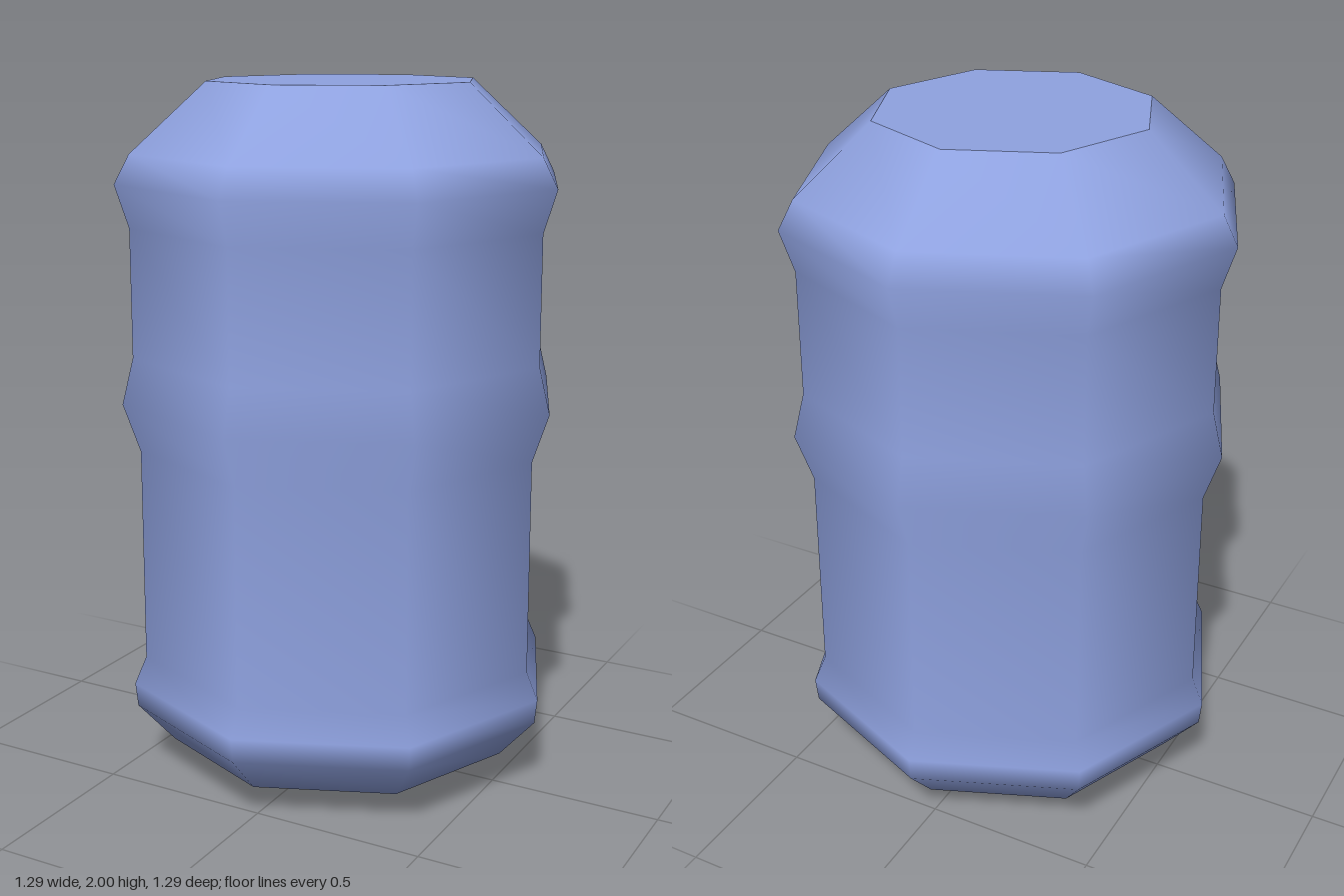
import * as THREE from 'three';

// Eight-sided barrel with smooth shading, raised bands and a flat lid.
export function createModel() {
  const group = new THREE.Group();
  group.name = 'barrel';
  const material = new THREE.MeshStandardMaterial({ color: 0x8fa2e0 });
  const sides = 8;
  const topRadius = 0.385;

  // Body profile as [radius, height], from the base centre up to the rim
  const profile = [
    [0, 0], [0.29, 0], [0.52, 0.09], [0.625, 0.21], [0.632, 0.28], [0.597, 0.36],
    [0.593, 0.98], [0.64, 1.12], [0.607, 1.25], [0.605, 1.61],
    [0.643, 1.73], [0.6, 1.81], [topRadius, 2],
  ].map(([r, y]) => new THREE.Vector2(r, y));
  const body = new THREE.Mesh(new THREE.LatheGeometry(profile, sides), material);
  body.name = 'body';

  // Flat top with its own normals, so the rim stays sharp
  const lid = new THREE.Mesh(new THREE.CircleGeometry(topRadius, sides).rotateX(-Math.PI / 2), material);
  lid.name = 'lid';
  lid.position.y = 2;

  group.add(body, lid);
  return group;
}
